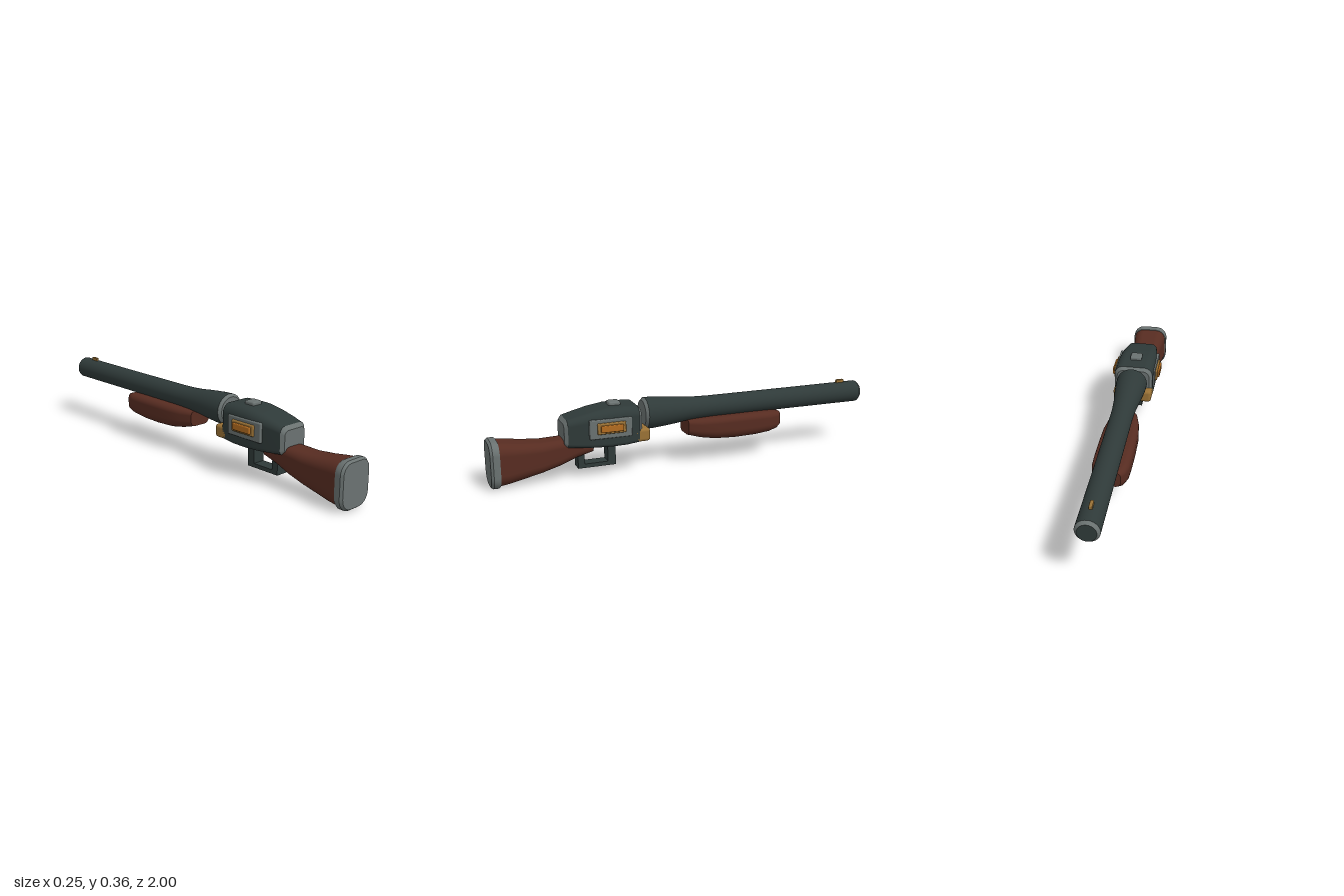
import * as THREE from 'three';
import { RoundedBoxGeometry } from 'three/addons/geometries/RoundedBoxGeometry.js';

const mat = (name, color) => {
  const m = new THREE.MeshStandardMaterial({ color });
  m.name = name;
  return m;
};

// Rounded outline, counter-clockwise seen from +z: separate top and bottom corner radii
function outline({ w, y0, y1, rt, rb }) {
  const pts = [], steps = 7;
  const corners = [[w, y1, rt, 0], [-w, y1, rt, 1], [-w, y0, rb, 2], [w, y0, rb, 3]];
  for (const [x, y, r, q] of corners) {
    const cx = x - Math.sign(x) * r, cy = y + (q < 2 ? -r : r);
    for (let i = 0; i <= steps; i++) {
      const a = (q + i / steps) * Math.PI / 2;
      pts.push([cx + r * Math.cos(a), cy + r * Math.sin(a)]);
    }
  }
  return pts;
}

// Skin between rounded sections [z, halfWidth, bottom, top, topRadius, bottomRadius], z increasing
function loft(rows, capStart = true, capEnd = true) {
  const pos = [], idx = [];
  const rings = rows.map(([z, w, y0, y1, rt, rb]) => outline({ w, y0, y1, rt, rb }).map(([x, y]) => [x, y, z]));
  const n = rings[0].length;
  rings.forEach(r => r.forEach(p => pos.push(...p)));
  for (let i = 0; i < rings.length - 1; i++) {
    for (let j = 0; j < n; j++) {
      const k = (j + 1) % n, a = i * n + j, b = i * n + k;
      idx.push(a, b, b + n, a, b + n, a + n);
    }
  }
  // Flat caps with their own vertices
  const cap = (ring, flip) => {
    const s = pos.length / 3;
    ring.forEach(p => pos.push(...p));
    for (let j = 1; j < n - 1; j++) flip ? idx.push(s, s + j + 1, s + j) : idx.push(s, s + j, s + j + 1);
  };
  if (capStart) cap(rings[0], true);
  if (capEnd) cap(rings[rings.length - 1], false);
  const g = new THREE.BufferGeometry();
  g.setAttribute('position', new THREE.Float32BufferAttribute(pos, 3));
  g.setIndex(idx);
  g.computeVertexNormals();
  return g;
}

// Turned part along z from [radius, z] points, z increasing
function turned(points) {
  const g = new THREE.LatheGeometry(points.map(([r, z]) => new THREE.Vector2(r, z)), 40);
  return g.rotateX(Math.PI / 2);
}

export function createModel() {
  const steel = mat('dark steel', 0x2f3a39);
  const grey = mat('worn grey metal', 0x6a7271);
  const wood = mat('red brown wood', 0x572c21);
  const brass = mat('brass', 0x9a7236);
  const copper = mat('copper', 0xb36c20);

  const model = new THREE.Group();
  model.name = 'longToyBlaster';
  const add = (name, geometry, material, x = 0, y = 0, z = 0) => {
    const m = new THREE.Mesh(geometry, material);
    m.name = name;
    m.position.set(x, y, z);
    model.add(m);
    return m;
  };
  const block = (name, material, w, h, d, r, x, y, z) =>
    add(name, new RoundedBoxGeometry(w, h, d, 2, r), material, x, y, z);

  // Stock and butt plate
  add('stock', loft([
    [0.5, 0.05, 0.125, 0.2, 0.02, 0.025],
    [0.58, 0.06, 0.105, 0.205, 0.03, 0.035],
    [0.66, 0.066, 0.075, 0.203, 0.035, 0.04],
    [0.75, 0.071, 0.05, 0.2, 0.04, 0.045],
    [0.84, 0.079, 0.03, 0.207, 0.045, 0.055],
    [0.91, 0.086, 0.016, 0.217, 0.05, 0.06],
    [0.968, 0.09, 0.008, 0.224, 0.055, 0.065],
  ]), wood);
  add('buttPlate', loft([
    [0.955, 0.09, 0.005, 0.226, 0.055, 0.065],
    [0.963, 0.095, 0, 0.23, 0.058, 0.068],
    [0.988, 0.095, 0, 0.23, 0.058, 0.068],
  ], true, false), grey);
  add('buttPlateBevel', loft([
    [0.988, 0.095, 0, 0.23, 0.058, 0.068],
    [1, 0.086, 0.009, 0.221, 0.05, 0.06],
  ], false, true), grey);

  // Receiver with bevelled grey ends
  add('receiver', loft([
    [0.28, 0.1, 0.163, 0.341, 0.045, 0.02],
    [0.34, 0.1, 0.156, 0.345, 0.046, 0.02],
    [0.42, 0.1, 0.155, 0.344, 0.046, 0.02],
    [0.5, 0.097, 0.158, 0.332, 0.043, 0.02],
    [0.57, 0.089, 0.163, 0.316, 0.036, 0.02],
    [0.63, 0.08, 0.168, 0.301, 0.03, 0.02],
  ], false, false), steel);
  add('receiverRearCap', loft([
    [0.63, 0.08, 0.168, 0.301, 0.03, 0.02],
    [0.646, 0.066, 0.182, 0.283, 0.024, 0.016],
  ], false, true), grey);
  add('receiverFrontCap', loft([
    [0.265, 0.085, 0.178, 0.326, 0.036, 0.016],
    [0.28, 0.1, 0.163, 0.341, 0.045, 0.02],
  ], true, false), grey);
  block('topLatch', grey, 0.06, 0.032, 0.06, 0.009, 0, 0.345, 0.382);

  // Layered side plates, mirrored
  for (const [side, s] of [['left', 1], ['right', -1]]) {
    block(side + 'SidePlate', grey, 0.02, 0.096, 0.212, 0.006, s * 0.097, 0.253, 0.426);
    block(side + 'BrassPlate', brass, 0.03, 0.055, 0.142, 0.006, s * 0.102, 0.257, 0.424);
    block(side + 'CopperInset', copper, 0.03, 0.034, 0.112, 0.005, s * 0.112, 0.257, 0.424);
  }

  // Hinge block under the breech
  block('hingeBlock', brass, 0.2, 0.066, 0.088, 0.016, 0, 0.198, 0.268);

  // Trigger guard: a frame with a rectangular opening
  const guard = new THREE.Shape();
  guard.moveTo(0.385, 0.045).lineTo(0.575, 0.045).lineTo(0.575, 0.165).lineTo(0.385, 0.165).closePath();
  const opening = new THREE.Path();
  opening.moveTo(0.425, 0.065).lineTo(0.425, 0.15).lineTo(0.542, 0.15).lineTo(0.542, 0.065).closePath();
  guard.holes.push(opening);
  const guardGeo = new THREE.ExtrudeGeometry(guard, { depth: 0.064, bevelEnabled: false });
  guardGeo.translate(0, 0, -0.032).rotateY(-Math.PI / 2);
  add('triggerGuard', guardGeo, steel);

  // Barrel flaring toward the breech, with bevelled end rings
  const axis = 0.281;
  add('barrel', turned([
    [0.056, -0.985], [0.055, -0.6], [0.055, -0.12], [0.057, -0.05], [0.061, 0.01],
    [0.068, 0.07], [0.074, 0.13], [0.078, 0.18], [0.079, 0.222],
  ]), steel, 0, axis, 0);
  add('muzzleRing', turned([[0.043, -1], [0.056, -0.985]]), grey, 0, axis, 0);
  add('muzzleFace', turned([[0, -1], [0.043, -1]]), steel, 0, axis, 0);
  add('breechRing', turned([[0.079, 0.222], [0.066, 0.236]]), grey, 0, axis, 0);
  add('breechFace', turned([[0.066, 0.236], [0, 0.236]]), grey, 0, axis, 0);
  block('frontSight', brass, 0.016, 0.025, 0.045, 0.004, 0, 0.34, -0.892);

  // Wooden fore grip under the barrel
  add('foreGrip', loft([
    [-0.507, 0.058, 0.15, 0.225, 0.02, 0.025],
    [-0.485, 0.076, 0.138, 0.232, 0.025, 0.035],
    [-0.44, 0.088, 0.126, 0.236, 0.03, 0.045],
    [-0.36, 0.09, 0.117, 0.237, 0.03, 0.05],
    [-0.25, 0.09, 0.115, 0.237, 0.03, 0.05],
    [-0.14, 0.088, 0.121, 0.237, 0.03, 0.048],
    [-0.06, 0.078, 0.135, 0.235, 0.028, 0.04],
    [0.008, 0.06, 0.154, 0.232, 0.02, 0.028],
  ]), wood);

  return model;
}
